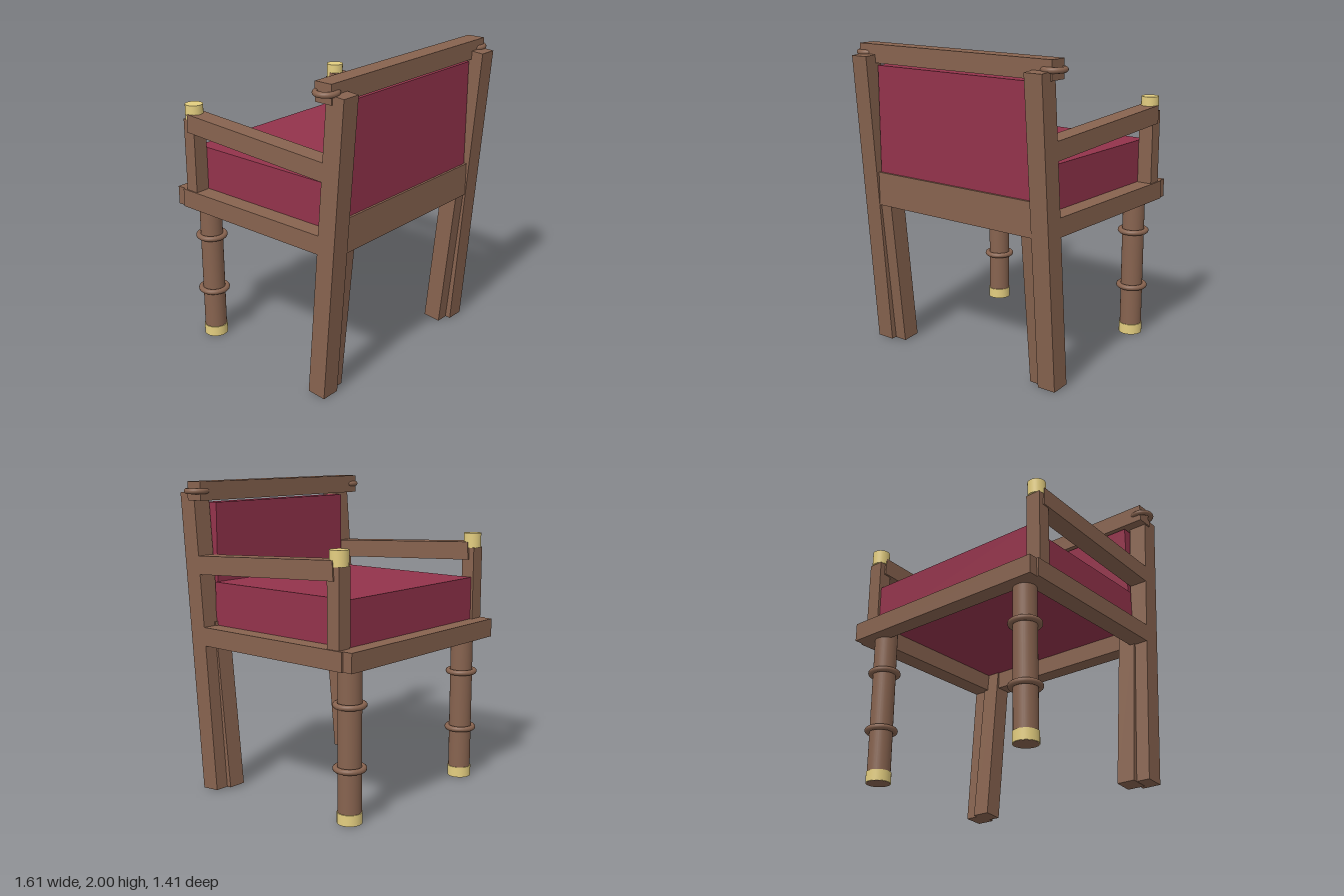
import * as THREE from 'three';

const wood = new THREE.MeshStandardMaterial({ color: 0x87634f });
wood.name = 'brown wood';
const fabric = new THREE.MeshStandardMaterial({ color: 0x93334b });
fabric.name = 'wine fabric';
const brass = new THREE.MeshStandardMaterial({ color: 0xe4ce80 });
brass.name = 'pale brass';

export function createModel() {
  const chair = new THREE.Group();
  chair.name = 'armchair';

  const add = (name, geometry, material, x, y, z) => {
    const mesh = new THREE.Mesh(geometry, material);
    mesh.name = name;
    mesh.position.set(x, y, z);
    chair.add(mesh);
    return mesh;
  };

  // Upright box given by its [min, max] range on each axis
  const box = (name, material, [x0, x1], [y0, y1], [z0, z1]) =>
    add(name, new THREE.BoxGeometry(x1 - x0, y1 - y0, z1 - z0), material,
      (x0 + x1) / 2, (y0 + y1) / 2, (z0 + z1) / 2);

  // Sloping bar between two [y, z] points
  const beam = (name, x, width, depth, [y0, z0], [y1, z1]) => {
    const length = Math.hypot(y1 - y0, z1 - z0);
    const mesh = add(name, new THREE.BoxGeometry(width, length, depth), wood,
      x, (y0 + y1) / 2, (z0 + z1) / 2);
    mesh.rotation.x = Math.atan2(z1 - z0, y1 - y0);
  };

  const cylinder = (name, material, radius, x, y0, y1, z) =>
    add(name, new THREE.CylinderGeometry(radius, radius, y1 - y0, 32), material, x, (y0 + y1) / 2, z);

  const ring = (name, radius, x, y, z) => {
    const geometry = new THREE.TorusGeometry(radius, 0.018, 12, 32);
    geometry.rotateX(Math.PI / 2);
    add(name, geometry, wood, x, y, z);
  };

  // Upholstery: the cushion rests on top of the seat rails
  box('seatCushion', fabric, [-0.628, 0.628], [1.078, 1.36], [-0.599, 0.52]);
  box('backPanel', fabric, [-0.608, 0.608], [1.15, 1.867], [0.519, 0.61]);

  // Cross rails
  box('seatEdgeRail', wood, [-0.727, 0.727], [0.96, 1.08], [-0.705, -0.592]);
  box('lowerBackRail', wood, [-0.625, 0.625], [0.96, 1.178], [0.51, 0.625]);
  box('crestRail', wood, [-0.75, 0.75], [1.882, 2], [0.505, 0.624]);

  for (const s of [-1, 1]) {
    // Raked back post and its inner companion leg
    beam('backPost', s * 0.678, 0.124, 0.125, [0.005, 0.491], [1.933, 0.642]);
    beam('innerBackLeg', s * 0.59, 0.12, 0.12, [0.006, 0.456], [1.1, 0.565]);

    // Seat side rail, arm post and armrest
    const side = s < 0 ? [-0.74, -0.618] : [0.618, 0.74];
    box('sideRail', wood, side, [0.96, 1.08], [-0.642, 0.56]);
    box('armPost', wood, [s * 0.681 - 0.05, s * 0.681 + 0.05], [1.08, 1.556], [-0.613, -0.523]);
    beam('armrest', s * 0.679, 0.122, 0.118, [1.474, 0.58], [1.535, -0.574]);
    cylinder('armPostCap', brass, 0.057, s * 0.678, 1.555, 1.651, -0.57);

    // Turned leg with rings and a metal sleeve at the foot
    cylinder('roundLeg', wood, 0.073, s * 0.581, 0, 1.07, -0.569);
    cylinder('legFoot', brass, 0.078, s * 0.581, 0.001, 0.07, -0.569);
    for (const y of [0.341, 0.73]) ring('legRing', 0.086, s * 0.581, y, -0.569);

    // Loop at each end of the crest rail
    ring('crestRing', 0.062, s * 0.725, 1.941, 0.567);
  }

  return chair;
}
